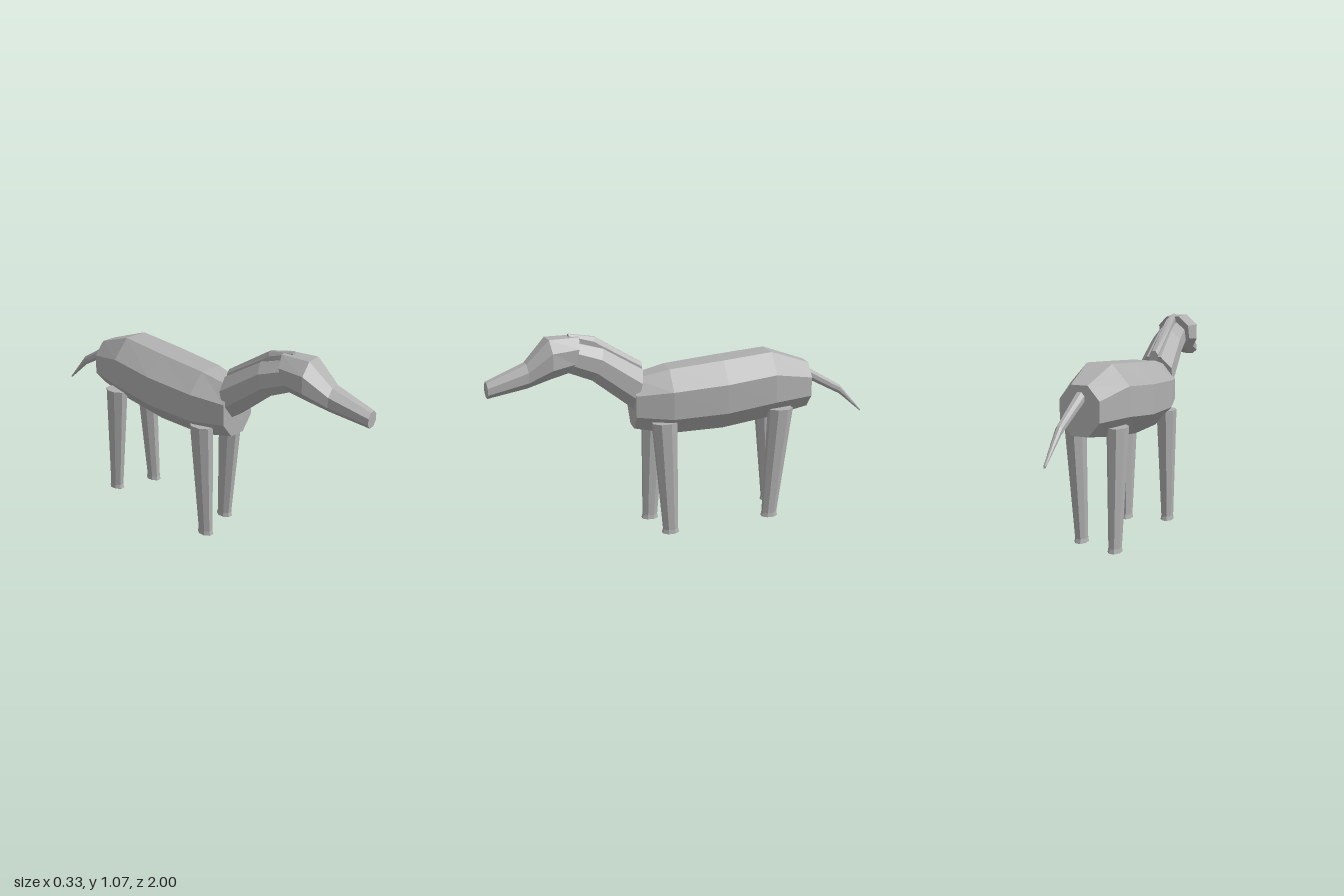
import * as THREE from 'three';

const K = 0.42; // octagon corner ratio
const OCT = [[1, -K], [1, K], [K, 1], [-K, 1], [-1, K], [-1, -K], [-K, -1], [K, -1]];

// Faceted closed skin over octagonal rings; each ring is { c: centre, s: half side, u: half up }.
function loft(rings) {
  const pts = rings.map(({ c, s, u }) => OCT.map(([a, b]) => c.map((v, i) => v + a * s[i] + b * u[i])));
  const pos = [];
  const tri = (...p) => p.forEach((q) => pos.push(...q));
  for (let r = 0; r < pts.length - 1; r++) {
    for (let i = 0; i < 8; i++) {
      const j = (i + 1) % 8;
      const [a, b, c, d] = [pts[r][i], pts[r][j], pts[r + 1][j], pts[r + 1][i]];
      tri(a, b, c);
      tri(a, c, d);
    }
  }
  const first = pts[0], last = pts[pts.length - 1];
  for (let i = 1; i < 7; i++) {
    tri(first[0], first[i + 1], first[i]);
    tri(last[0], last[i], last[i + 1]);
  }
  const g = new THREE.BufferGeometry();
  g.setAttribute('position', new THREE.Float32BufferAttribute(pos, 3));
  g.computeVertexNormals();
  return g;
}

// Ring from centre x, half width, [z, y] of its top and bottom, and a sideways turn
function ring(x, hw, [zt, yt], [zb, yb], yaw = 0) {
  return {
    c: [x, (yt + yb) / 2, (zt + zb) / 2],
    s: [hw * Math.cos(yaw), 0, -hw * Math.sin(yaw)],
    u: [0, (yt - yb) / 2, (zt - zb) / 2],
  };
}

export function createModel() {
  const group = new THREE.Group();
  const grey = new THREE.MeshStandardMaterial({ color: 0xb0b0b0, flatShading: true });
  grey.name = 'grey';
  const add = (name, rings) => {
    const mesh = new THREE.Mesh(loft(rings), grey);
    mesh.name = name;
    group.add(mesh);
  };

  // Barrel body, rump to chest: z, half width, top, bottom
  add('body', [
    [-0.665, 0.1, 0.842, 0.606],
    [-0.45, 0.153, 0.915, 0.57],
    [-0.19, 0.165, 0.89, 0.535],
    [0.09, 0.152, 0.863, 0.528],
    [0.27, 0.103, 0.822, 0.563],
  ].map(([z, w, t, b]) => ring(0, w, [z, t], [z, b])));

  // Neck, turning slightly to the left
  add('neck', [
    ring(0, 0.095, [0.22, 0.865], [0.27, 0.665]),
    ring(0.012, 0.078, [0.42, 0.985], [0.48, 0.83], 0.07),
    ring(0.025, 0.07, [0.54, 1.02], [0.6, 0.88], 0.14),
  ]);

  // Head from poll to muzzle
  const yaw = 0.14;
  add('head', [
    ring(0.017, 0.083, [0.54, 1.052], [0.59, 0.88], yaw),
    ring(0.033, 0.102, [0.69, 1.052], [0.69, 0.86], yaw),
    ring(0.053, 0.063, [0.8, 0.942], [0.8, 0.825], yaw),
    ring(0.076, 0.04, [0.992, 0.868], [0.992, 0.792], yaw),
  ]);

  // Mane ridge
  add('mane', [
    ring(0, 0.024, [0.22, 0.895], [0.22, 0.83]),
    ring(0.012, 0.022, [0.455, 1.042], [0.48, 0.97], 0.07),
    ring(0.024, 0.014, [0.585, 1.066], [0.585, 1.035], 0.14),
  ]);

  // Tail from tip to root
  add('tail', [
    ring(0, 0.006, [-0.997, 0.547], [-1, 0.535]),
    ring(0, 0.016, [-0.865, 0.695], [-0.872, 0.643]),
    ring(0, 0.026, [-0.65, 0.82], [-0.65, 0.758]),
  ]);

  // Legs: side, top z, foot z, top y, foot y
  const legs = [
    ['leftFrontLeg', 1, 0.13, 0.1, 0.605, 0],
    ['rightFrontLeg', -1, 0.13, 0.158, 0.605, 0],
    ['leftBackLeg', 1, -0.49, -0.445, 0.628, 0.03],
    ['rightBackLeg', -1, -0.49, -0.52, 0.628, 0.03],
  ];
  for (const [name, side, zt, zf, yt, yf] of legs) {
    const level = (x, y, z, hx, hz) => ({ c: [side * x, y, z], s: [hx, 0, 0], u: [0, 0, hz] });
    add(name, [
      level(0.11, yt, zt, 0.046, 0.062),
      level(0.107, yf + 0.022, zf, 0.028, 0.038),
      level(0.107, yf, zf, 0.031, 0.043),
    ]);
  }
  return group;
}
